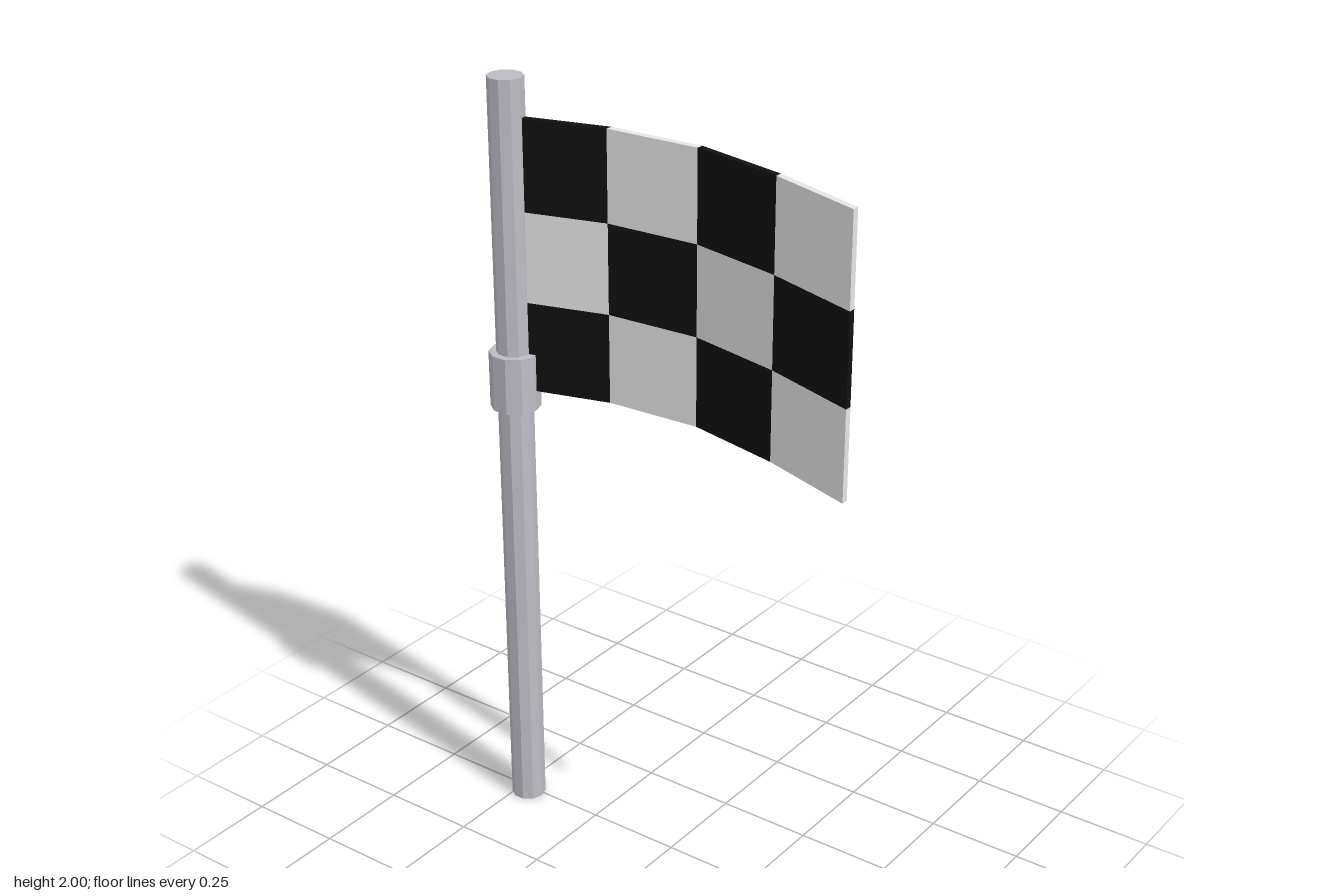
import * as THREE from 'three';

export function createModel() {
  const group = new THREE.Group();
  const material = (name, color) => {
    const m = new THREE.MeshStandardMaterial({ color, flatShading: true });
    m.name = name;
    return m;
  };
  const metal = material('grey metal', 0xbcbcc4);
  const black = material('black cloth', 0x111111);
  const white = material('white cloth', 0xe6e6e6);

  const poleX = -0.47, poleZ = 0.0125;

  // Ten-sided pole and the collar around it, with corners pointing along x
  const addTube = (name, radius, bottom, top) => {
    const geometry = new THREE.CylinderGeometry(radius, radius, top - bottom, 10);
    geometry.rotateY(Math.PI / 10);
    const mesh = new THREE.Mesh(geometry, metal);
    mesh.name = name;
    mesh.position.set(poleX, (bottom + top) / 2, poleZ);
    group.add(mesh);
  };
  addTube('pole', 0.045, 0, 2);
  addTube('collar', 0.064, 1.155, 1.302);

  // Waving flag: each square is a thin box sheared in z between two path points
  const flag = new THREE.Group();
  flag.name = 'flag';
  const pathZ = [poleZ, -0.057, -0.07, -0.0165, 0.064];
  const columnWidth = 0.25, thickness = 0.018;
  const bottom = 1.205, rowHeight = 0.2323, rows = 3;

  for (let col = 0; col < pathZ.length - 1; col++) {
    for (let row = 0; row < rows; row++) {
      const geometry = new THREE.BoxGeometry(columnWidth, rowHeight, thickness);
      const p = geometry.attributes.position;
      for (let i = 0; i < p.count; i++) {
        p.setZ(i, p.getZ(i) + (p.getX(i) < 0 ? pathZ[col] : pathZ[col + 1]));
      }
      geometry.computeVertexNormals();
      const square = new THREE.Mesh(geometry, (col + row) % 2 === 0 ? black : white);
      square.name = `flagSquare${col + 1}_${row + 1}`;
      square.position.set(poleX + (col + 0.5) * columnWidth, bottom + (row + 0.5) * rowHeight, 0);
      flag.add(square);
    }
  }
  group.add(flag);
  return group;
}
